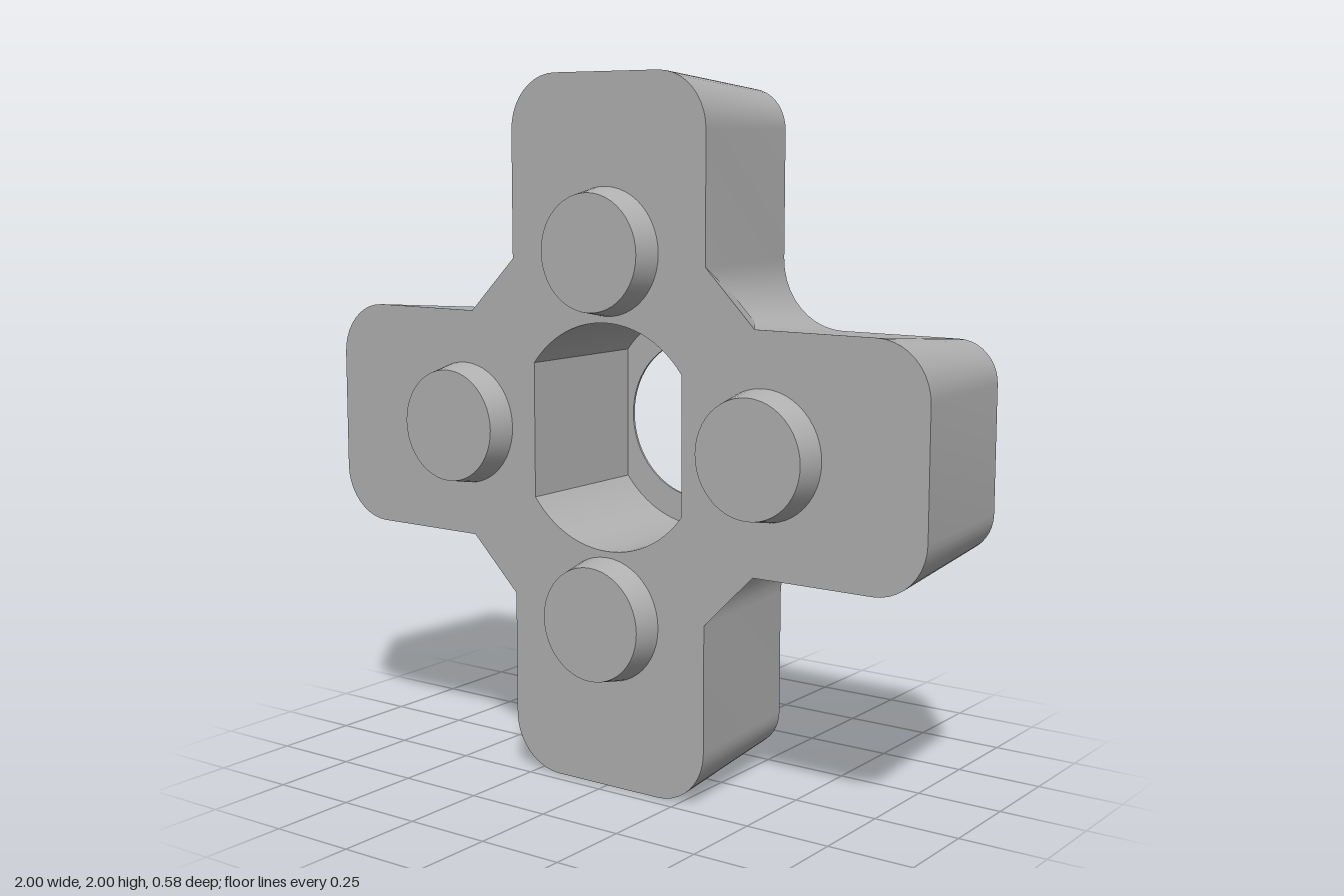
import * as THREE from 'three';
import { toCreasedNormals } from 'three/addons/utils/BufferGeometryUtils.js';
import { ConvexGeometry } from 'three/addons/geometries/ConvexGeometry.js';

const FRONT = 0.21, SHOULDER = -0.245, BACK = -0.29, FLOOR = -0.235;

// Points along an arc, angles in radians
function arc(cx, cy, r, a0, a1, n) {
  return Array.from({ length: n + 1 }, (_, i) => {
    const a = a0 + (a1 - a0) * i / n;
    return new THREE.Vector2(cx + r * Math.cos(a), cy + r * Math.sin(a));
  });
}

// Counter-clockwise rounded cross outline, shrunk by an inset
function cross(inset) {
  const L = 1 - inset, w = 0.33 - inset, r = 0.155 - inset, R = 0.155 + inset;
  const q = Math.PI / 2, origin = new THREE.Vector2();
  const pts = [];
  for (let k = 0; k < 4; k++) {
    const arm = [
      ...arc(L - r, r - w, r, -q, 0, 10),
      ...arc(L - r, w - r, r, 0, q, 10),
      ...arc(w + R, w + R, R, 3 * q, 2 * q, 10),
    ];
    pts.push(...arm.map(p => p.rotateAround(origin, k * q)));
  }
  return pts;
}

// Wall through outlines at given depths, front to back
function loft(rings) {
  const n = rings[0].pts.length, pos = [], index = [];
  for (const { pts, z } of rings) for (const p of pts) pos.push(p.x, p.y, z);
  for (let j = 0; j < rings.length - 1; j++) {
    for (let i = 0; i < n; i++) {
      const a = j * n + i, b = j * n + (i + 1) % n;
      index.push(a, a + n, b, b, a + n, b + n);
    }
  }
  const g = new THREE.BufferGeometry();
  g.setAttribute('position', new THREE.Float32BufferAttribute(pos, 3));
  g.setIndex(index);
  return toCreasedNormals(g, 0.5);
}

// Flat face with one hole
function plate(outer, hole, z, facingBack = false) {
  const shape = new THREE.Shape(outer);
  shape.holes.push(new THREE.Path(hole));
  const g = new THREE.ShapeGeometry(shape);
  if (facingBack) g.rotateY(Math.PI);
  return g.translate(0, 0, z);
}

export function createModel() {
  const model = new THREE.Group();
  model.name = 'crossBlock';
  const grey = new THREE.MeshStandardMaterial({ color: 0xb0b0b0 });
  grey.name = 'grey';

  const block = new THREE.Group();
  block.name = 'block';
  block.position.y = 1;
  model.add(block);
  const add = (name, geometry) => {
    const mesh = new THREE.Mesh(geometry, grey);
    mesh.name = name;
    block.add(mesh);
    return mesh;
  };

  // Outlines of the cross, the flat-sided pocket and the round hole
  const front = cross(0), shoulder = cross(0.04), back = cross(0.09);
  const pr = 0.32, pa = Math.acos(0.255 / pr);
  const pocket = [
    ...arc(0, 0, pr, pa, Math.PI - pa, 24),
    ...arc(0, 0, pr, Math.PI + pa, 2 * Math.PI - pa, 24),
  ];
  const circle = r => arc(0, 0, r, 0, 2 * Math.PI, 64).slice(0, -1);
  const hole = circle(0.235), rim = circle(0.28);
  const inward = pts => pts.slice().reverse();

  // Drafted outer walls with a chamfered back edge
  add('outerWalls', loft([
    { pts: front, z: FRONT }, { pts: shoulder, z: SHOULDER }, { pts: back, z: BACK },
  ]));
  add('frontFace', plate(front, pocket, FRONT));
  add('backFace', plate(back, rim, BACK, true));

  // Pocket and countersunk hole
  add('pocketWalls', loft([
    { pts: inward(pocket), z: FRONT }, { pts: inward(pocket), z: FLOOR },
  ]));
  add('pocketFloor', plate(pocket, hole, FLOOR));
  add('holeChamfer', loft([
    { pts: inward(hole), z: FLOOR }, { pts: inward(hole), z: FLOOR - 0.007 },
    { pts: inward(rim), z: BACK },
  ]));

  // Sloped webs in the inner corners, and one peg on each arm
  const v = (x, y, z) => new THREE.Vector3(x, y, z);
  const web = new ConvexGeometry([
    v(0.33, 0.485, FRONT), v(0.485, 0.33, FRONT), v(0.31, 0.31, FRONT),
    v(0.335, 0.41, 0.09), v(0.41, 0.335, 0.09), v(0.31, 0.31, 0.09),
  ]);
  const peg = new THREE.CylinderGeometry(0.162, 0.178, 0.084, 48);
  peg.rotateX(Math.PI / 2);
  for (let k = 0; k < 4; k++) {
    const a = k * Math.PI / 2;
    add('cornerWeb', web).rotation.z = a;
    add('peg', peg).position.set(0.515 * Math.cos(a), 0.515 * Math.sin(a), 0.248);
  }
  return model;
}
